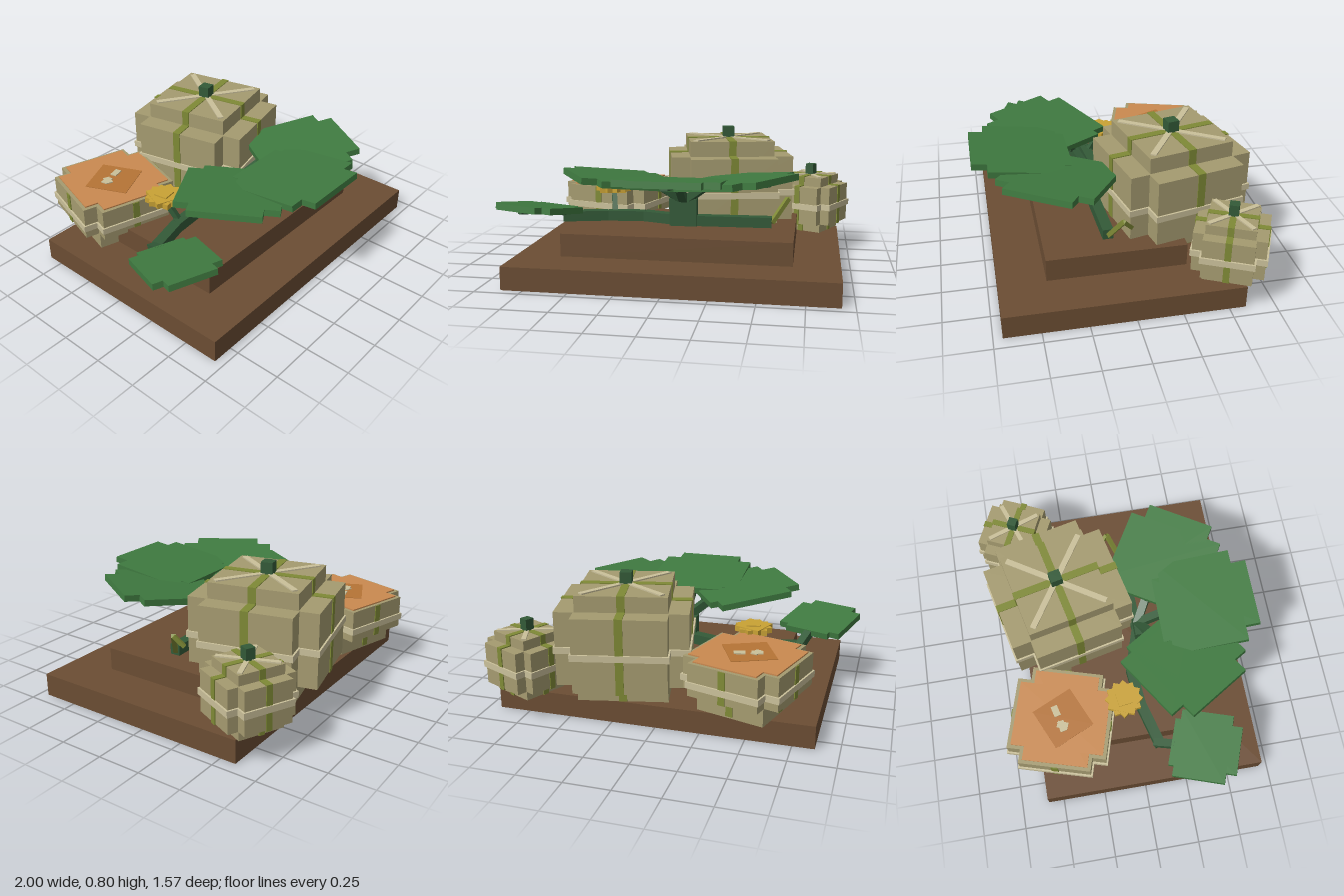
import * as THREE from 'three';

const mat = (name, color) => {
  const m = new THREE.MeshStandardMaterial({ color });
  m.name = name;
  return m;
};

export function createModel() {
  const soil = mat('soilBrown', 0x6b4d33);
  const rind = mat('rindTan', 0xa59b70);
  const pale = mat('paleStripe', 0xcac09a);
  const olive = mat('oliveStripe', 0x7f8a36);
  const stem = mat('stemGreen', 0x335a38);
  const leafGreen = mat('leafGreen', 0x3f7a40);
  const flesh = mat('fleshOrange', 0xca8a50);
  const core = mat('coreOrange', 0xb67436);
  const petal = mat('petalYellow', 0xc9a234);

  const model = new THREE.Group();
  model.name = 'melonPatch';

  const group = (name, x, y, z, ry = 0) => {
    const g = new THREE.Group();
    g.name = name;
    g.position.set(x, y, z);
    g.rotation.y = ry;
    model.add(g);
    return g;
  };
  const box = (parent, name, m, w, h, d, x = 0, y = 0, z = 0, ry = 0) => {
    const b = new THREE.Mesh(new THREE.BoxGeometry(w, h, d), m);
    b.name = name;
    b.position.set(x, y, z);
    b.rotation.y = ry;
    parent.add(b);
    return b;
  };
  // Two crossed slabs that share a plus-shaped footprint
  const cross = (parent, name, m, long, short, h, y) => {
    box(parent, name, m, long, h, short, 0, y);
    box(parent, name, m, short, h, long, 0, y);
  };
  // Square bar running between two points
  const beam = (name, m, a, b, t) => {
    const p = new THREE.Vector3(...a), q = new THREE.Vector3(...b);
    const bar = box(model, name, m, t, t, p.distanceTo(q));
    bar.position.copy(p).add(q).multiplyScalar(0.5);
    bar.lookAt(q);
  };

  // Soil terraces
  box(model, 'lowerSoil', soil, 1.8, 0.13, 1.29, 0.03, 0.065, 0.055);
  box(model, 'upperSoil', soil, 1.29, 0.13, 0.77, 0.03, 0.195, 0.055);

  // Whole melon, origin at its middle
  const melon = (name, x, y, z, ry, long, short, tall, body, stripe, stemSize) => {
    const g = group(name, x, y, z, ry);
    cross(g, 'rind', rind, long, short, body, 0);
    box(g, 'rindCore', rind, short - 0.01, tall, short - 0.01);
    cross(g, 'belt', pale, long + 0.02, short + 0.02, 0.036, -0.005);
    cross(g, 'sideStripe', olive, long + 0.01, stripe, body + 0.01, 0);
    cross(g, 'topStripe', olive, short, stripe, tall + 0.008, 0);
    for (const a of [Math.PI / 4, -Math.PI / 4])
      box(g, 'diagonalStripe', pale, short * 1.22, 0.009, stripe * 0.75, 0, tall / 2 + 0.003, 0, a);
    box(g, 'melonStem', stem, stemSize, 0.07, stemSize, 0, tall / 2 + 0.035);
  };
  melon('largeMelon', 0.238, 0.43, -0.335, 0.22, 0.725, 0.51, 0.6, 0.42, 0.044, 0.066);
  melon('smallMelon', 0.754, 0.303, -0.545, -0.44, 0.385, 0.27, 0.346, 0.236, 0.034, 0.052);

  // Halved melon with its cut face up
  const half = group('halfMelon', -0.476, 0, -0.43, -0.29);
  cross(half, 'rind', rind, 0.565, 0.41, 0.185, 0.333);
  box(half, 'rindCore', rind, 0.395, 0.29, 0.395, 0, 0.275);
  cross(half, 'belt', pale, 0.585, 0.43, 0.036, 0.305);
  cross(half, 'sideStripe', olive, 0.575, 0.04, 0.185, 0.33);
  cross(half, 'lowerStripe', olive, 0.405, 0.04, 0.1, 0.19);
  cross(half, 'flesh', flesh, 0.525, 0.37, 0.009, 0.4285);
  box(half, 'fleshCore', core, 0.25, 0.006, 0.25, 0, 0.433, 0.01, 0.71);
  for (const [x, z, r] of [[-0.525, -0.432, 0.2], [-0.52, -0.428, 1.2], [-0.433, -0.455, 0.25]])
    box(model, 'seed', pale, 0.062, 0.008, 0.038, x, 0.438, z, r);

  // Leaf: plus-shaped plate rising away from its hub, with a rib underneath
  const leaf = (name, x, y, z, ry, s, tilt) => {
    const g = group(name, x, y, z);
    g.rotation.set(-tilt, ry, 0, 'YXZ');
    box(g, 'leafBlade', leafGreen, 0.565 * s, 0.036, 0.43 * s, 0, 0, 0.36 * s);
    box(g, 'leafTip', leafGreen, 0.395 * s, 0.036, 0.56 * s, 0, 0, 0.38 * s);
    box(g, 'leafRib', stem, 0.036 * s, 0.02, 0.5 * s, 0, -0.022, 0.35 * s);
  };
  leaf('frontLeaf', 0.03, 0.53, 0.12, 0, 1, 0.12);
  for (const s of [-1, 1]) leaf(s > 0 ? 'leftLeaf' : 'rightLeaf', 0.03, 0.515, 0.12, s * 1.02, 1, 0.12);
  leaf('lowLeaf', -0.68, 0.345, 0.11, -0.35, 0.69, 0.15);

  // Main stalk and the three leaf stalks
  box(model, 'mainStalk', stem, 0.16, 0.16, 0.065, 0.03, 0.34, 0.11);
  for (const a of [-1.02, 0, 1.02])
    beam('leafStalk', stem, [0.03, 0.4, 0.1],
      [0.03 + 0.19 * Math.sin(a), 0.525, 0.11 + 0.17 * Math.cos(a)], 0.046);

  // Ground vines
  const vine = [[0.54, 0.29, 0.08], [0.03, 0.29, 0.1], [-0.22, 0.29, 0.02], [-0.44, 0.29, 0.04], [-0.7, 0.29, 0.11]];
  for (let i = 1; i < vine.length; i++) beam('vine', stem, vine[i - 1], vine[i], 0.06);
  beam('lowLeafStalk', stem, [-0.68, 0.3, 0.08], [-0.72, 0.355, 0.19], 0.045);

  // Curling tendril
  beam('tendril', olive, [0.54, 0.285, 0.075], [0.63, 0.42, 0.015], 0.026);
  beam('tendrilCurl', olive, [0.63, 0.42, 0.015], [0.6, 0.36, -0.035], 0.022);

  // Flower made of turned squares
  const flower = group('flower', -0.43, 0, -0.06, 0.15);
  for (let i = 0; i < 3; i++)
    box(flower, 'petals', petal, 0.155, 0.032, 0.155, 0, 0.436 + i * 0.003, 0, (i * Math.PI) / 6);
  box(flower, 'flowerCenter', petal, 0.08, 0.02, 0.08, 0, 0.456);
  beam('flowerStem', stem, [-0.4, 0.29, 0.03], [-0.43, 0.425, -0.06], 0.03);

  return model;
}
